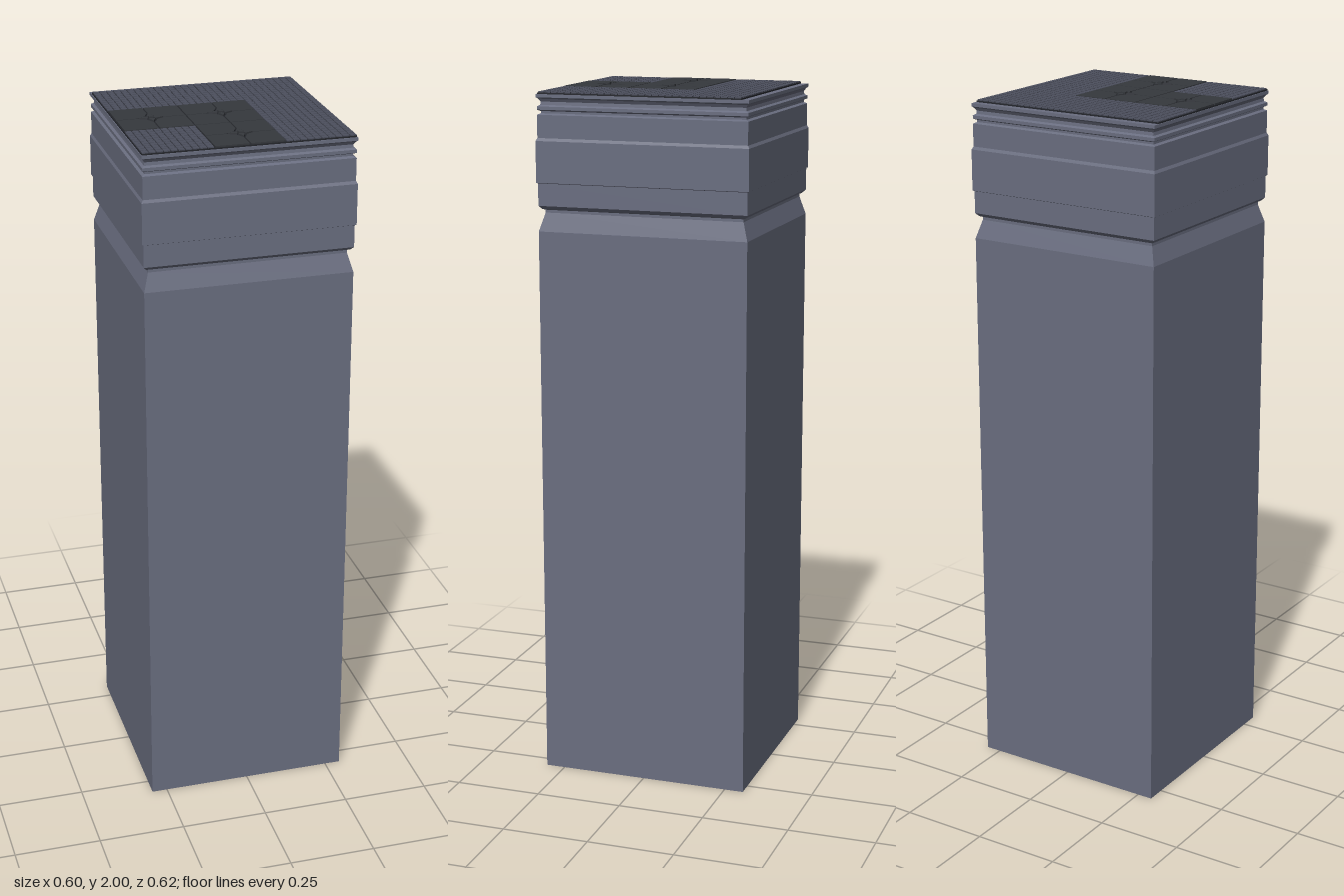
import * as THREE from 'three';
import { mergeGeometries } from 'three/addons/utils/BufferGeometryUtils.js';

const PANEL = 0.59 / 3;      // one square of the 3 x 3 floor
const FLOOR_Z = 0.009;       // the floor sits slightly forward
const TOP = 1.987;           // top of the column block

const mat = (color) => new THREE.MeshStandardMaterial({ color, flatShading: true });

// Flat shape (x, z outline) raised to a slab between two heights
function slab(points, y0, y1) {
  const shape = new THREE.Shape(points.map(([x, z]) => new THREE.Vector2(x, -z)));
  const g = new THREE.ExtrudeGeometry(shape, { depth: y1 - y0, bevelEnabled: false });
  return g.rotateX(-Math.PI / 2).translate(0, y0, 0);
}

export function createModel() {
  const model = new THREE.Group();
  const stone = mat(0x6a6e80);
  const mosaicStone = mat(0x4c4f5d);
  const darkStone = mat(0x35383d);
  const grout = mat(0x24262c);

  const add = (name, geometry, material, parent = model) => {
    const mesh = new THREE.Mesh(geometry, material);
    mesh.name = name;
    parent.add(mesh);
    return mesh;
  };

  // Square column with moulded capital: [half width, height]
  const profile = [
    [0, 0], [0.295, 0], [0.295, 1.605], [0.28, 1.657], [0.28, 1.665],
    [0.287, 1.668], [0.295, 1.677], [0.295, 1.74], [0.299, 1.742],
    [0.299, 1.858], [0.295, 1.866], [0.295, 1.93], [0.287, 1.934],
    [0.287, 1.94], [0.295, 1.944], [0.295, 1.953], [0.288, 1.957],
    [0.287, 1.966], [0.292, 1.974], [0.297, 1.978], [0.297, TOP], [0, TOP],
  ].map(([w, y]) => new THREE.Vector2(w * Math.SQRT2, y));
  const column = new THREE.LatheGeometry(profile, 4, Math.PI / 4).toNonIndexed();
  column.scale(1, 1, 1.036);
  column.computeVertexNormals();
  add('column', column, stone);

  // Floor bed that shows as the joints between tiles
  const floor = new THREE.Group();
  floor.name = 'floor';
  floor.position.z = FLOOR_Z;
  model.add(floor);
  const bed = new THREE.BoxGeometry(0.59, 0.006, 0.59).translate(0, TOP + 0.001, 0);
  add('floorBed', bed, grout, floor);

  // Panel of 10 x 10 small tiles
  function mosaicPanel() {
    const tiles = [];
    const pitch = PANEL / 10;
    for (let i = 0; i < 10; i++) {
      for (let j = 0; j < 10; j++) {
        const tile = new THREE.BoxGeometry(pitch - 0.003, 0.008, pitch - 0.003);
        tiles.push(tile.translate((i - 4.5) * pitch, TOP + 0.003, (j - 4.5) * pitch));
      }
    }
    return mergeGeometries(tiles);
  }

  // Four large tiles, each with its inner corner cut for the star
  function largeTiles() {
    const e = PANEL / 2 - 0.002;
    const g = 0.002;
    const outline = [[0.04, g], [e, g], [e, e], [g, e], [g, 0.04], [0.015, 0.015]];
    return mergeGeometries([0, 1, 2, 3].map((k) =>
      slab(outline, TOP, TOP + 0.008).rotateY(k * Math.PI / 2)));
  }

  // Four-pointed star with a small stud in the middle
  function star() {
    const arm = [[0.009, 0], [0.012, -0.0095], [0.034, 0], [0.012, 0.0095]];
    const arms = [0, 1, 2, 3].map((k) =>
      slab(arm, TOP, TOP + 0.010).rotateY(k * Math.PI / 2));
    const s = 0.0065;
    const stud = slab([[-s, -s], [s, -s], [s, s], [-s, s]], TOP, 2);
    return mergeGeometries([...arms, stud]);
  }

  const mosaic = mosaicPanel();
  const large = largeTiles();
  const starInlay = star();
  // Rows run from back to front; 1 marks a panel with a star
  const layout = [[0, 0, 0], [1, 1, 0], [0, 1, 0]];
  layout.forEach((row, r) => row.forEach((hasStar, c) => {
    const panel = new THREE.Group();
    panel.name = hasStar ? 'starPanel' : 'mosaicPanel';
    panel.position.set((c - 1) * PANEL, 0, (r - 1) * PANEL);
    floor.add(panel);
    if (hasStar) {
      add('largeTiles', large, darkStone, panel);
      add('star', starInlay, darkStone, panel);
    } else {
      add('mosaicTiles', mosaic, mosaicStone, panel);
    }
  }));

  return model;
}
